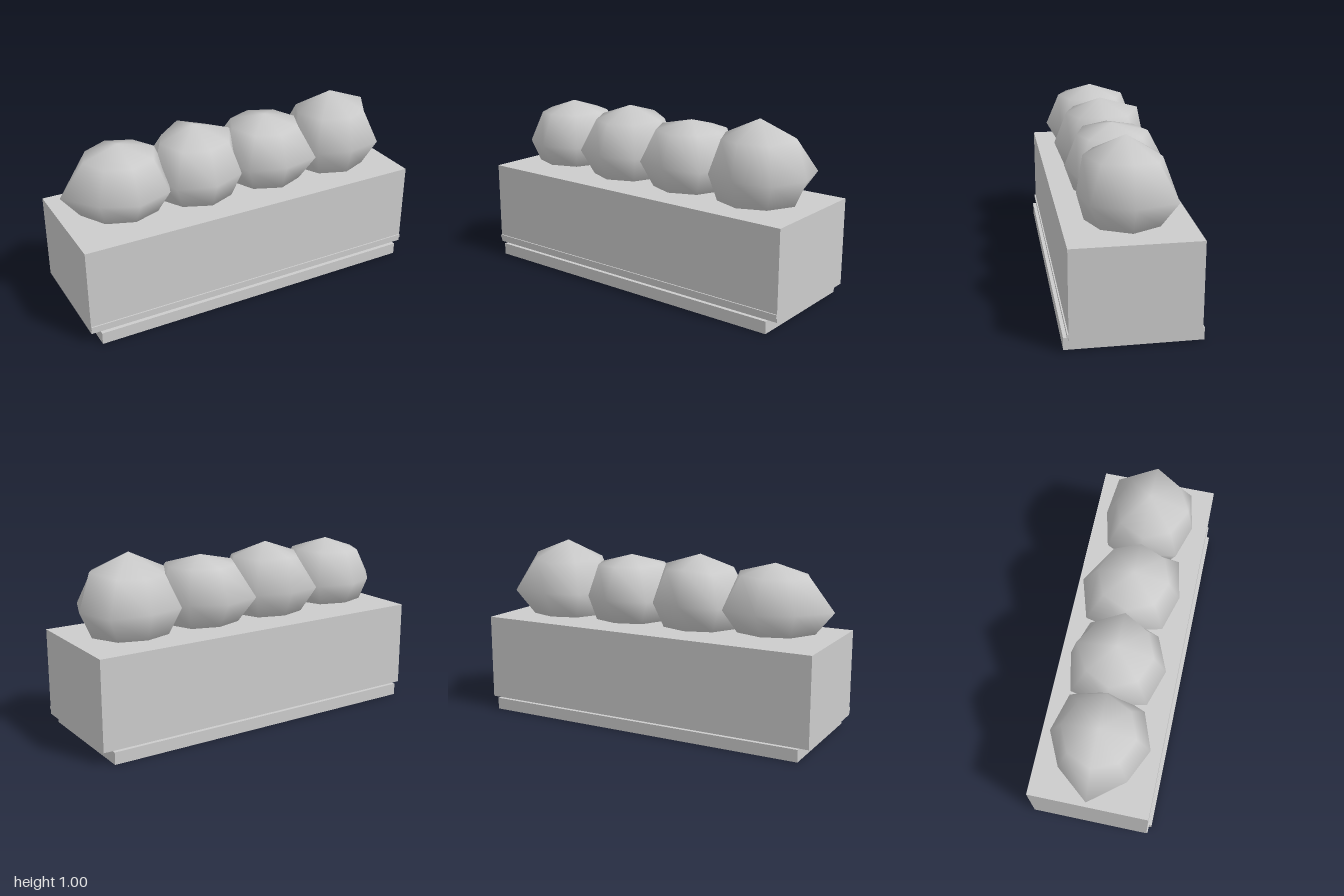
import * as THREE from 'three';
import { mergeVertices } from 'three/addons/utils/BufferGeometryUtils.js';

const paleGrey = new THREE.MeshStandardMaterial({ color: 0xcccccc, side: THREE.DoubleSide });
paleGrey.name = 'paleGrey';

function addBox(group, name, w, y0, y1, z0, z1) {
  const mesh = new THREE.Mesh(new THREE.BoxGeometry(w, y1 - y0, z1 - z0), paleGrey);
  mesh.name = name;
  mesh.position.set(0, (y0 + y1) / 2, (z0 + z1) / 2);
  group.add(mesh);
  return mesh;
}

// Irregular shrubs: centre x, height of the flat underside, top radius, and three
// rings of eight radii, each starting at +x and turning towards +z
const SHRUBS = [
  {
    x: -0.665, floor: 0.585, top: 0.267,
    upper: [0.29, 0.28, 0.28, 0.27, 0.275, 0.27, 0.28, 0.28],
    level: [0.28, 0.285, 0.275, 0.265, 0.335, 0.26, 0.27, 0.3],
    lower: [0.3, 0.3, 0.29, 0.3, 0.33, 0.3, 0.28, 0.3],
  },
  {
    x: -0.22, floor: 0.57, top: 0.289,
    upper: [0.305, 0.28, 0.28, 0.28, 0.295, 0.27, 0.31, 0.28],
    level: [0.26, 0.27, 0.27, 0.29, 0.25, 0.3, 0.26, 0.275],
    lower: [0.3, 0.3, 0.3, 0.3, 0.33, 0.3, 0.28, 0.3],
  },
  {
    x: 0.22, floor: 0.57, top: 0.256,
    upper: [0.28, 0.28, 0.27, 0.28, 0.29, 0.28, 0.28, 0.28],
    level: [0.25, 0.305, 0.26, 0.285, 0.25, 0.315, 0.29, 0.26],
    lower: [0.3, 0.3, 0.3, 0.3, 0.31, 0.3, 0.28, 0.3],
  },
  {
    x: 0.66, floor: 0.565, top: 0.322,
    upper: [0.32, 0.29, 0.305, 0.29, 0.3, 0.28, 0.265, 0.28],
    level: [0.29, 0.295, 0.25, 0.27, 0.22, 0.285, 0.25, 0.32],
    lower: [0.318, 0.3, 0.3, 0.31, 0.33, 0.3, 0.28, 0.3],
  },
];

function makeShrub({ x, floor, top, upper, level, lower }) {
  const centreY = 0.71;
  let geo = new THREE.SphereGeometry(1, 8, 4);
  geo.deleteAttribute('uv');
  geo.deleteAttribute('normal');
  geo = mergeVertices(geo, 1e-4);
  const pos = geo.attributes.position;
  const v = new THREE.Vector3();
  for (let i = 0; i < pos.count; i++) {
    v.fromBufferAttribute(pos, i);
    const turn = (Math.round(Math.atan2(v.z, v.x) / (Math.PI / 4)) + 8) % 8;
    const ring = v.y > 0.1 ? upper : v.y < -0.1 ? lower : level;
    v.multiplyScalar(Math.abs(v.y) > 0.9 ? top : ring[turn]);
    pos.setXYZ(i, v.x, v.y * 0.9, v.z);
  }
  // Rounded shading first, then the underside is cut flat
  geo.computeVertexNormals();
  for (let i = 0; i < pos.count; i++) {
    if (pos.getY(i) < -0.05) pos.setY(i, floor - centreY);
  }
  const mesh = new THREE.Mesh(geo, paleGrey);
  mesh.name = 'shrub';
  mesh.position.set(x, centreY, 0);
  return mesh;
}

export function createModel() {
  const group = new THREE.Group();
  group.name = 'planter';
  // Plinth, hollow from below: the bottom face (fourth of six) is left out
  const plinth = addBox(group, 'plinth', 1.9, 0, 0.067, -0.355, 0.355).geometry;
  plinth.setIndex([...plinth.index.array].filter((_, i) => i < 18 || i >= 24));
  plinth.clearGroups();
  addBox(group, 'trough', 2, 0.067, 0.555, -0.333, 0.333);
  // Thin trim along the front
  addBox(group, 'frontTrim', 2, 0.09, 0.11, 0.332, 0.34);
  SHRUBS.forEach((s) => group.add(makeShrub(s)));
  return group;
}
